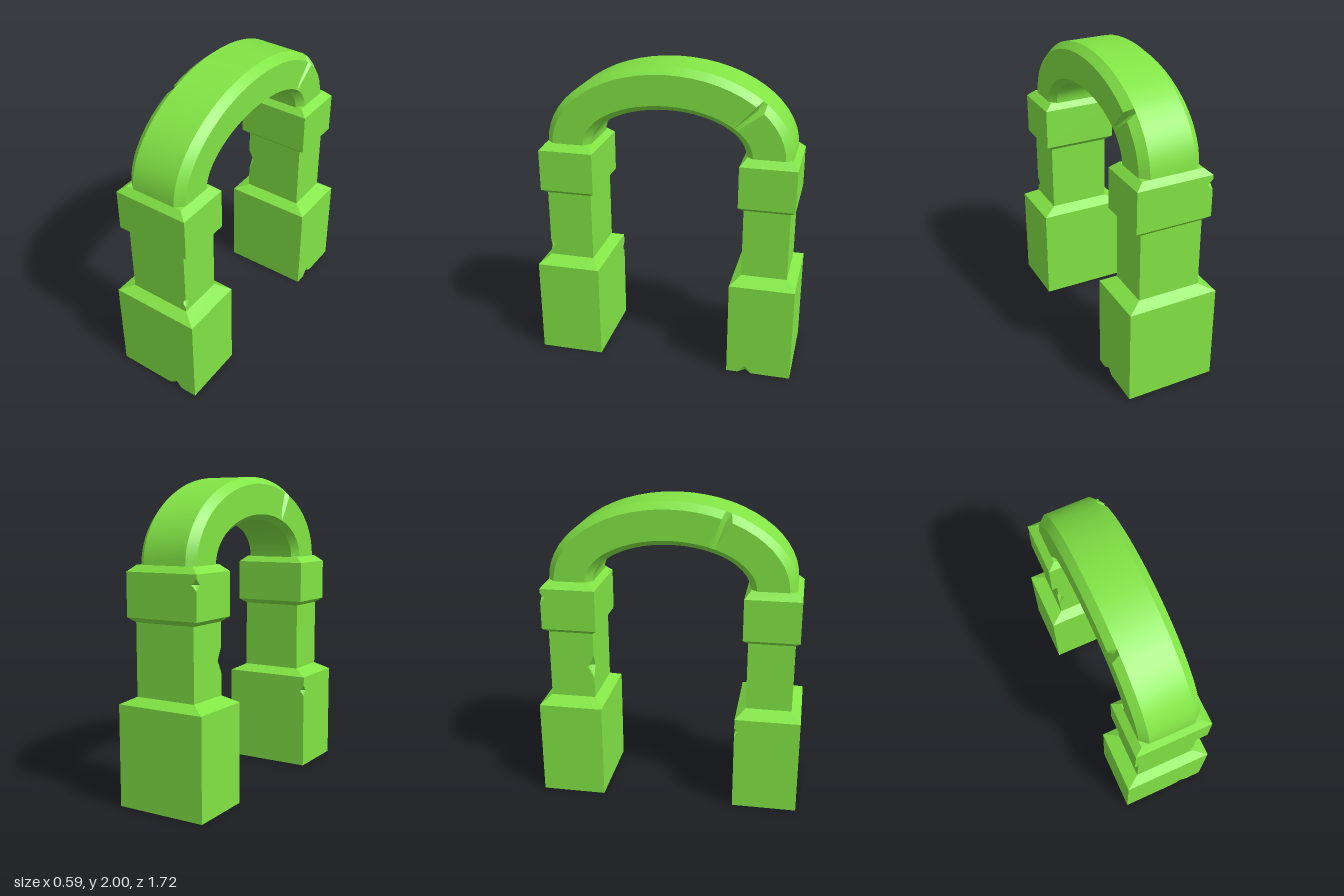
import * as THREE from 'three';
import { toCreasedNormals } from 'three/addons/utils/BufferGeometryUtils.js';

const material = new THREE.MeshStandardMaterial({ color: 0x82e545 });

// Skins a list of equal-length loops and closes both ends
function loft(rings, crease) {
  const pos = [];
  const tri = (a, b, c) => {
    const area = b.clone().sub(a).cross(c.clone().sub(a)).length();
    if (area > 1e-7) for (const p of [a, b, c]) pos.push(p.x, p.y, p.z);
  };
  const n = rings[0].length;
  for (let r = 0; r < rings.length - 1; r++) {
    for (let i = 0; i < n; i++) {
      const j = (i + 1) % n, lo = rings[r], hi = rings[r + 1];
      tri(lo[i], lo[j], hi[j]);
      tri(lo[i], hi[j], hi[i]);
    }
  }
  const cap = (ring, flip) => {
    const mid = ring.reduce((s, p) => s.add(p), new THREE.Vector3()).divideScalar(n);
    ring.forEach((p, i) => {
      const q = ring[(i + 1) % n];
      flip ? tri(mid, q, p) : tri(mid, p, q);
    });
  };
  cap(rings[0], true);
  cap(rings[rings.length - 1], false);
  const geo = new THREE.BufferGeometry();
  geo.setAttribute('position', new THREE.Float32BufferAttribute(pos, 3));
  return toCreasedNormals(geo, crease);
}

// Side directions: front, +x, back, -x; corner i starts side i
const DIRS = [[1, 0], [0, -1], [-1, 0], [0, 1]];
const CORNERS = [[-1, 1], [1, 1], [1, -1], [-1, -1]];

// Rectangular loop; one corner may be cut, one side carries foot-notch points
function pillarRing(y, hx, hz, notch, { corner = -1, cut = 0, lift = 0, inset = 0 } = {}) {
  const pts = [];
  const add = (x, z, py = y) => pts.push(new THREE.Vector3(x, py, z));
  for (let i = 0; i < 4; i++) {
    const x = CORNERS[i][0] * hx, z = CORNERS[i][1] * hz;
    const din = DIRS[(i + 3) % 4], out = DIRS[i];
    const c = i === corner ? cut : 0;
    add(x - din[0] * c, z - din[1] * c);
    add(x + (out[0] - din[0]) * c * 0.7, z + (out[1] - din[1]) * c * 0.7);
    add(x + out[0] * c, z + out[1] * c);
    if (i === notch.side) {
      for (const s of [-0.045, 0, 0.045]) {
        const u = notch.at + s, v = s === 0 ? inset : 0;
        // the inward normal of a side is its direction turned left
        const px = out[0] ? out[0] * u : x - Math.sign(x) * v;
        const pz = out[1] ? out[1] * u : z - Math.sign(z) * v;
        add(px, pz, y + (s === 0 ? lift : 0));
      }
    }
  }
  return pts;
}

// Pillar outline: height, half width, half depth
const PROFILE = [
  [0, 0.295, 0.21], [0.635, 0.295, 0.21],
  [0.68, 0.204, 0.147], [1.13, 0.204, 0.147],
  [1.16, 0.247, 0.178], [1.43, 0.247, 0.178],
  [1.47, 0.197, 0.142],
];

function pillar(notch, chips) {
  const rings = [pillarRing(0, 0.295, 0.21, notch, { inset: 0.04 })];
  PROFILE.forEach(([y, hx, hz], k) => {
    rings.push(pillarRing(y, hx, hz, notch, { lift: k === 0 ? 0.052 : 0 }));
    const next = PROFILE[k + 1];
    if (!next) return;
    // Chips knocked out of the upright edges
    for (const chip of chips.filter((c) => c.y > y && c.y < next[0])) {
      rings.push(pillarRing(chip.y - chip.h, hx, hz, notch));
      rings.push(pillarRing(chip.y, hx, hz, notch, chip));
      rings.push(pillarRing(chip.y + chip.h, hx, hz, notch));
    }
  });
  return loft(rings, 0.2);
}

// Arch section: x, ellipse radius along z, ellipse radius along y
const SECTION = [
  [-0.147, 0.79, 0.53], [0.147, 0.79, 0.53],
  [0.197, 0.745, 0.487], [0.197, 0.545, 0.295],
  [0.155, 0.5, 0.26], [-0.155, 0.5, 0.26],
  [-0.197, 0.545, 0.295], [-0.197, 0.745, 0.487],
];

function arch() {
  const chips = [{ t: 1.08, point: 7 }, { t: 2.46, point: 2 }];
  const stations = [];
  for (let i = 0; i <= 28; i++) {
    const t = (i / 28) * Math.PI;
    if (chips.every((c) => Math.abs(c.t - t) > 0.06)) stations.push(t);
  }
  for (const c of chips) stations.push(c.t - 0.05, c.t, c.t + 0.05);
  stations.sort((a, b) => a - b);
  const rings = stations.map((t) => SECTION.map(([x, a, b], i) => {
    const chipped = chips.some((c) => c.t === t && c.point === i);
    const k = chipped ? 0.96 : 1;
    return new THREE.Vector3(chipped ? x * 0.82 : x, 1.468 + Math.sin(t) * b * k, Math.cos(t) * a * k);
  }));
  return loft(rings, 0.45);
}

export function createModel() {
  const group = new THREE.Group();
  const add = (name, geo, z = 0) => {
    const mesh = new THREE.Mesh(geo, material);
    mesh.name = name;
    mesh.position.z = z;
    group.add(mesh);
  };
  add('frontPillar', pillar({ side: 0, at: 0.14 }, [
    { corner: 3, y: 0.54, h: 0.035, cut: 0.03 },
    { corner: 1, y: 0.75, h: 0.035, cut: 0.035 },
  ]), 0.648);
  add('backPillar', pillar({ side: 1, at: -0.09 }, [
    { corner: 0, y: 0.9, h: 0.08, cut: 0.04 },
    { corner: 3, y: 1.37, h: 0.035, cut: 0.035 },
  ]), -0.648);
  add('arch', arch());
  return group;
}
